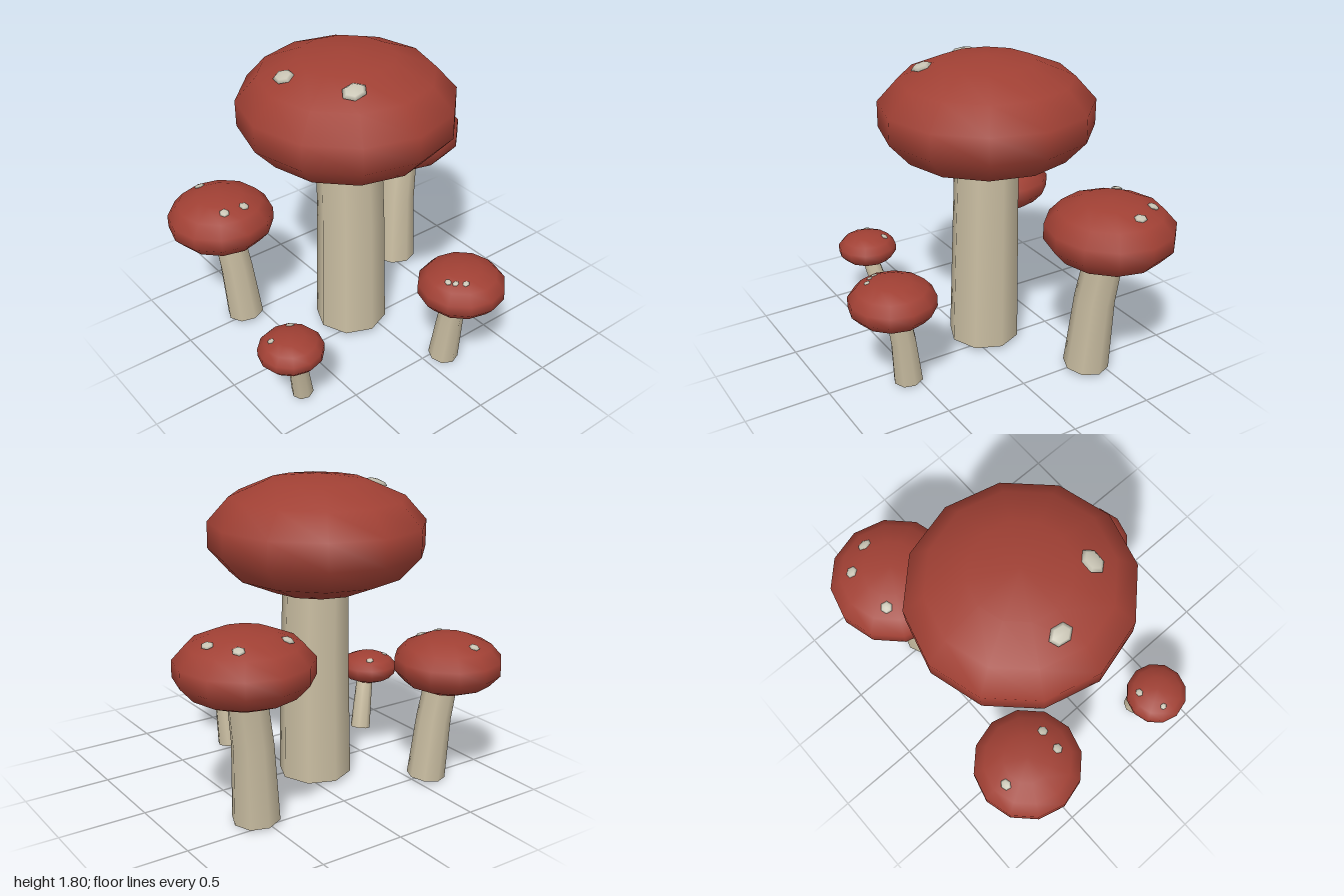
import * as THREE from 'three';

const V = (a) => new THREE.Vector3(...a);
const UP = new THREE.Vector3(0, 1, 0);
const SIDES = 8;

const capMat = new THREE.MeshStandardMaterial({ color: 0xa04034 });
const stemMat = new THREE.MeshStandardMaterial({ color: 0xcbbfa3 });
const spotMat = new THREE.MeshStandardMaterial({ color: 0xc8c4b4 });

// cap: centre and radii; stem: rings [x, y, z, radius] from the ground up; spots: [x, z, rx, rz]
const MUSHROOMS = [
  {
    name: 'largeMushroom', cap: [-0.08, 1.46, -0.105], r: [0.627, 0.34, 0.64],
    stem: [[-0.085, 0.02, -0.09, 0.215], [-0.075, 0.74, -0.093, 0.2], [-0.075, 1.2, -0.1, 0.19]],
    spots: [[-0.45, -0.17, 0.055, 0.07], [-0.27, 0.21, 0.075, 0.06]],
  },
  {
    name: 'leftMushroom', cap: [0.625, 0.915, -0.47], r: [0.382, 0.205, 0.378],
    stem: [[0.535, 0.015, -0.42, 0.135], [0.563, 0.465, -0.438, 0.118], [0.608, 0.76, -0.457, 0.11]],
    spots: [[0.465, -0.635, 0.036, 0.036], [0.765, -0.65, 0.034, 0.036], [0.85, -0.49, 0.032, 0.042]],
  },
  {
    name: 'backRightMushroom', cap: [-0.67, 0.72, -0.58], r: [0.318, 0.172, 0.318],
    stem: [[-0.59, 0.015, -0.52, 0.112], [-0.62, 0.38, -0.535, 0.1], [-0.645, 0.6, -0.558, 0.095]],
    spots: [[-0.695, -0.765, 0.034, 0.03], [-0.735, -0.415, 0.03, 0.03], [-0.605, -0.41, 0.03, 0.03]],
  },
  {
    name: 'frontMushroom', cap: [0.142, 0.565, 0.645], r: [0.256, 0.137, 0.256],
    stem: [[0.117, 0.01, 0.55, 0.088], [0.13, 0.28, 0.58, 0.076], [0.135, 0.47, 0.615, 0.071]],
    spots: [[0, 0.685, 0.018, 0.022], [0.022, 0.722, 0.02, 0.017], [0.065, 0.76, 0.022, 0.018]],
  },
  {
    name: 'smallMushroom', cap: [-0.817, 0.4, 0.34], r: [0.187, 0.1, 0.188],
    stem: [[-0.722, 0.008, 0.29, 0.063], [-0.755, 0.2, 0.311, 0.056], [-0.79, 0.33, 0.338, 0.052]],
    spots: [[-0.915, 0.295, 0.019, 0.021], [-0.755, 0.245, 0.026, 0.022]],
  },
];

// One stem section: a cylinder whose end rings follow the bend of the stem
function stemSection(a, b, qa, qb) {
  const geo = new THREE.CylinderGeometry(1, 1, 1, SIDES, 1);
  const p = geo.attributes.position;
  const n = geo.attributes.normal;
  const v = new THREE.Vector3();
  for (let i = 0; i < p.count; i++) {
    const top = p.getY(i) > 0;
    const ring = top ? b : a;
    const q = top ? qb : qa;
    v.set(p.getX(i), 0, p.getZ(i)).multiplyScalar(ring[3]).applyQuaternion(q).add(V(ring.slice(0, 3)));
    p.setXYZ(i, v.x, v.y, v.z);
    v.fromBufferAttribute(n, i).applyQuaternion(q);
    n.setXYZ(i, v.x, v.y, v.z);
  }
  return geo;
}

function addMesh(parent, geo, mat, name) {
  const mesh = new THREE.Mesh(geo, mat);
  mesh.name = name;
  parent.add(mesh);
  return mesh;
}

function makeMushroom({ name, cap, r, stem, spots }) {
  const group = new THREE.Group();
  group.name = name;

  // Stem in two sections, bending slightly at the joint
  const points = stem.map((s) => V(s.slice(0, 3)));
  const turns = points.map((_, i) => {
    const dir = points[Math.min(i + 1, 2)].clone().sub(points[Math.max(i - 1, 0)]).normalize();
    return new THREE.Quaternion().setFromUnitVectors(UP, dir);
  });
  ['lowerStem', 'upperStem'].forEach((part, i) =>
    addMesh(group, stemSection(stem[i], stem[i + 1], turns[i], turns[i + 1]), stemMat, part));

  // Flattened low-poly cap
  const dome = addMesh(group, new THREE.SphereGeometry(1, 12, 7), capMat, 'cap');
  dome.position.set(...cap);
  dome.scale.set(...r);

  // Pebble-like spots lying on the cap
  spots.forEach(([x, z, rx, rz], i) => {
    const dx = (x - cap[0]) / r[0];
    const dz = (z - cap[2]) / r[2];
    const h = Math.sqrt(1 - dx * dx - dz * dz);
    const normal = new THREE.Vector3(dx / r[0], h / r[1], dz / r[2]).normalize();
    const geo = new THREE.SphereGeometry(1, 6, 4);
    geo.rotateY(i * 0.8 + 0.3);
    const spot = addMesh(group, geo, spotMat, 'spot');
    spot.scale.set(rx, Math.min(rx, rz) * 0.35, rz);
    spot.quaternion.setFromUnitVectors(UP, normal);
    spot.position.set(x, cap[1] + h * r[1], z).addScaledVector(normal, -0.025 * r[1]);
  });
  return group;
}

export function createModel() {
  const model = new THREE.Group();
  model.name = 'mushroomCluster';
  MUSHROOMS.forEach((m) => model.add(makeMushroom(m)));
  return model;
}
